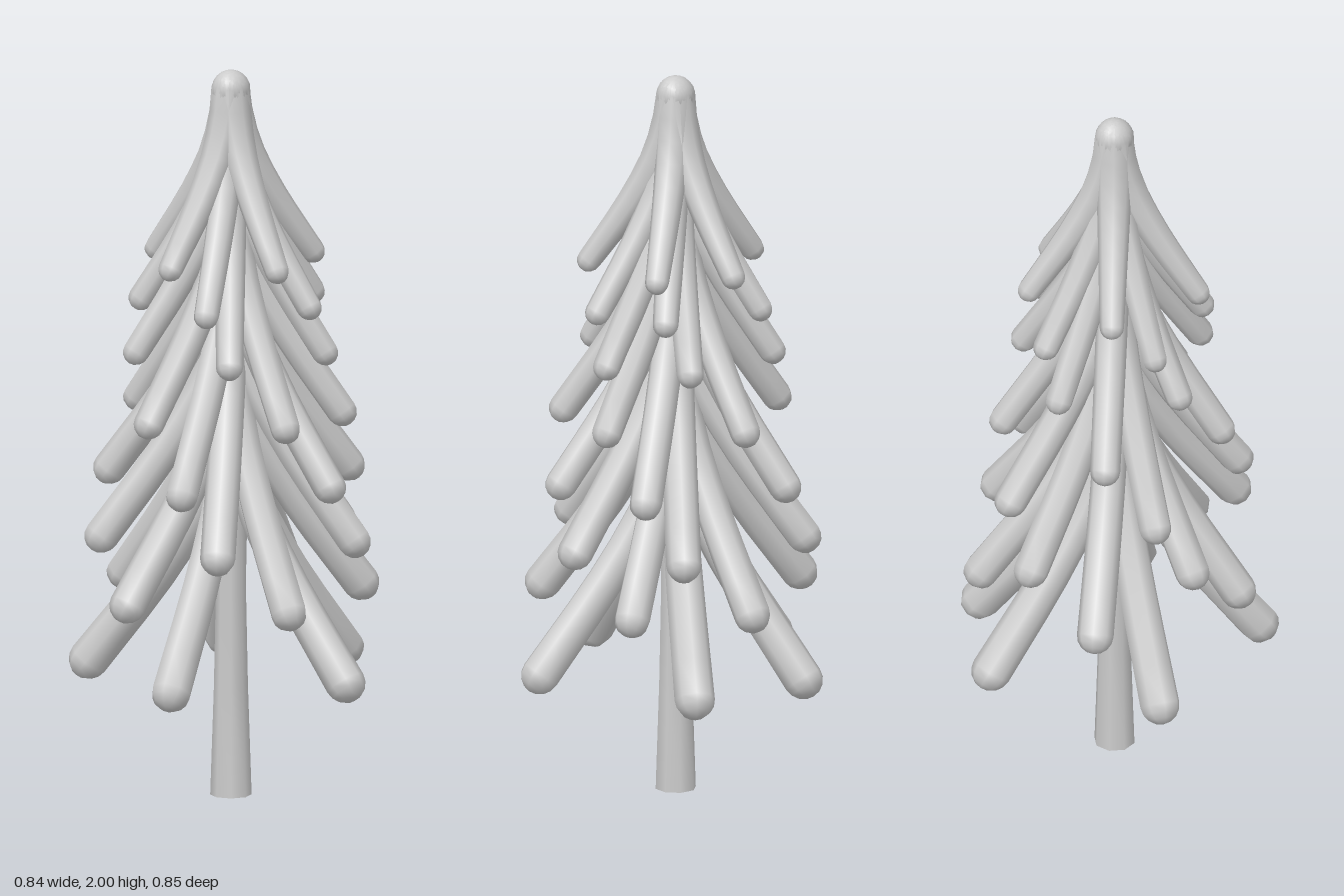
import * as THREE from 'three';
import { mergeVertices, toCreasedNormals } from 'three/addons/utils/BufferGeometryUtils.js';

const material = new THREE.MeshStandardMaterial({ color: 0xcccccc });
const SIDES = 8;
const CENTER = new THREE.Vector3(0.016, 0, 0.01);

// tiers from top to bottom: tip height, drop, reach, root radius, tip radius, first branch angle in degrees
const TIERS = [
  [1.485, 0.463, 0.234, 0.053, 0.033, -18],
  [1.37, 0.52, 0.242, 0.045, 0.035, 30],
  [1.235, 0.57, 0.262, 0.045, 0.037, 15],
  [1.065, 0.61, 0.302, 0.045, 0.041, 61.5],
  [0.89, 0.64, 0.333, 0.045, 0.045, 37.5],
  [0.725, 0.66, 0.352, 0.045, 0.048, 20],
  [0.57, 0.68, 0.36, 0.045, 0.05, -11.5],
  [0.358, 0.71, 0.391, 0.045, 0.055, -38],
];
const PER_TIER = 5;
const STEP = 76.5;

// straight tapered rod with rounded ends, standing along +y from 0 to length
function rod(length, r0, r1) {
  const pts = [];
  for (let i = 0; i <= 4; i++) {
    const a = (i / 4) * Math.PI / 2;
    pts.push(new THREE.Vector2(r0 * Math.sin(a), -r0 * Math.cos(a)));
  }
  for (let i = 1; i < 8; i++) pts.push(new THREE.Vector2(r0 + (r1 - r0) * i / 8, length * i / 8));
  for (let i = 0; i <= 4; i++) {
    const a = (i / 4) * Math.PI / 2;
    pts.push(new THREE.Vector2(r1 * Math.cos(a), length + r1 * Math.sin(a)));
  }
  return new THREE.LatheGeometry(pts, SIDES);
}

// drooping branch: the rod bent along a curve that falls steeply, then flares out
function branchGeometry(drop, reach, r0, r1) {
  const curve = new THREE.CatmullRomCurve3([
    [0, 1], [0.06, 0.84], [0.2, 0.63], [0.5, 0.36], [1, 0],
  ].map(([r, h]) => new THREE.Vector3(r * reach, h * drop, 0)));
  const length = curve.getLength();
  const geo = rod(length, r0, r1);
  const pos = geo.attributes.position;
  const B = new THREE.Vector3(0, 0, 1);
  const v = new THREE.Vector3();
  for (let i = 0; i < pos.count; i++) {
    v.fromBufferAttribute(pos, i);
    const u = THREE.MathUtils.clamp(v.y / length, 0, 1);
    const T = curve.getTangentAt(u);
    const N = T.clone().cross(B);
    const p = curve.getPointAt(u)
      .addScaledVector(T, v.y - u * length)
      .addScaledVector(N, v.x)
      .addScaledVector(B, v.z);
    pos.setXYZ(i, p.x, p.y, p.z);
  }
  geo.deleteAttribute('uv');
  geo.deleteAttribute('normal');
  const smooth = mergeVertices(geo, 1e-5);
  smooth.computeVertexNormals();
  return smooth;
}

export function createModel() {
  const model = new THREE.Group();
  model.name = 'pineTree';

  // trunk, flared at the foot; its top is hidden inside the first tier
  const profile = [[0, 0], [0.056, 0], [0.046, 0.3], [0.041, 0.55], [0.04, 1.2], [0.045, 1.93], [0, 1.95]]
    .map(([r, y]) => new THREE.Vector2(r, y));
  const trunk = new THREE.Mesh(toCreasedNormals(new THREE.LatheGeometry(profile, SIDES), 0.9), material);
  trunk.name = 'trunk';
  trunk.position.copy(CENTER);
  model.add(trunk);

  // tiers of branches, each turned against its neighbours; the first one forms the rounded top
  TIERS.forEach(([tipY, drop, reach, rootRadius, tipRadius, start], t) => {
    const tier = new THREE.Group();
    tier.name = `branchTier${t + 1}`;
    const geo = branchGeometry(drop, reach, rootRadius, tipRadius);
    for (let i = 0; i < PER_TIER; i++) {
      const branch = new THREE.Mesh(geo, material);
      branch.name = 'branch';
      branch.position.set(CENTER.x, tipY, CENTER.z);
      branch.rotation.y = -THREE.MathUtils.degToRad(start + STEP * i);
      tier.add(branch);
    }
    model.add(tier);
  });
  return model;
}
